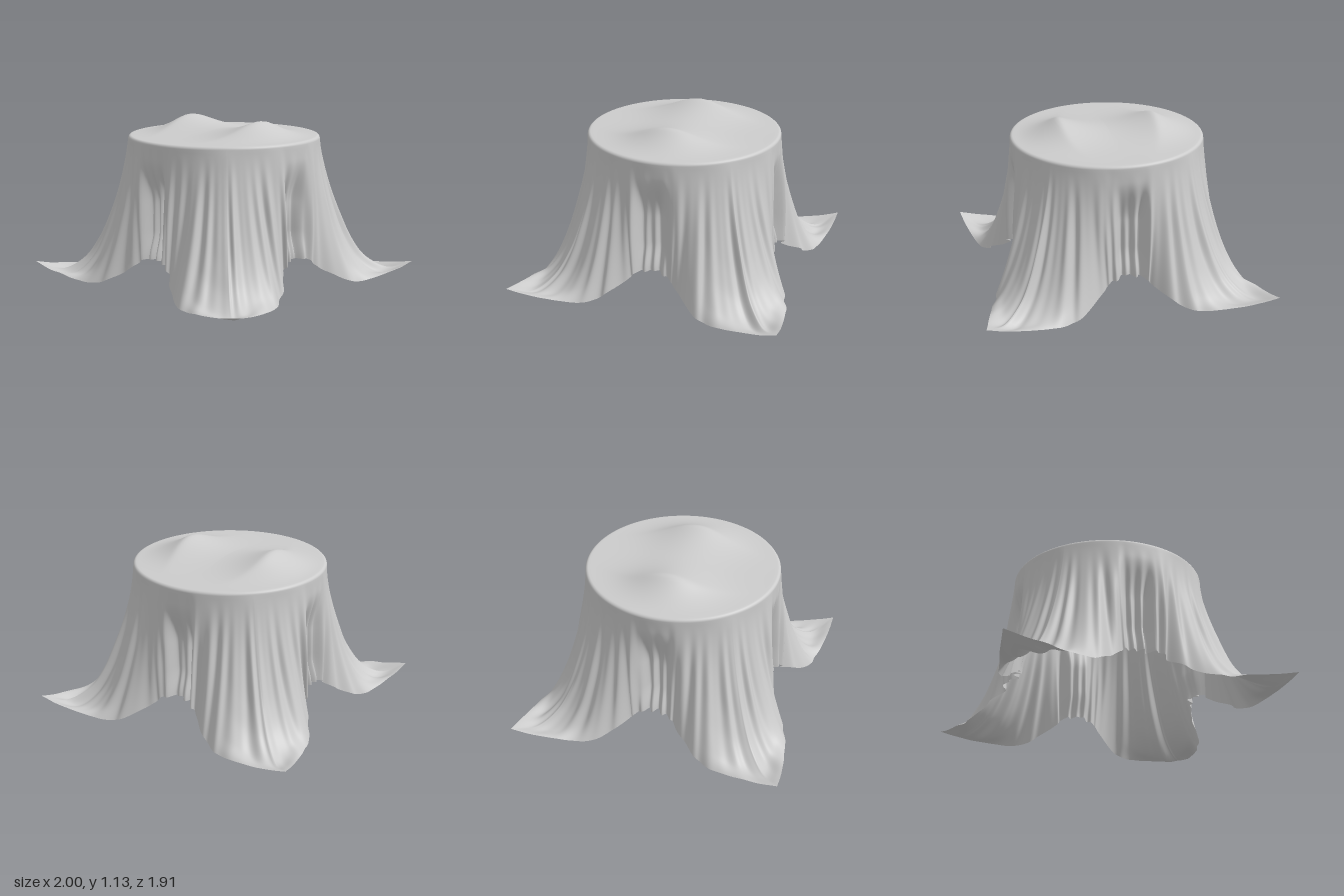
import * as THREE from 'three';

const { lerp, smoothstep } = THREE.MathUtils;
const HALF = 80;                 // columns per half side of the square cloth
const COLS = HALF * 8;
const TOP_ROWS = 34, RIM_ROWS = 5, SKIRT_ROWS = 44;
const RADIUS = 0.685, TOP_Y = 1.038, ROUND = 0.022;

const spline = (pts) => new THREE.CatmullRomCurve3(pts.map((p) => new THREE.Vector3(...p)));

// Hem from the middle of a side to a corner: across, height, outward
const hem = spline([
  [0, 0.23, 0.68], [0.06, 0.22, 0.69], [0.12, 0.21, 0.70], [0.17, 0.16, 0.72],
  [0.26, 0.10, 0.79], [0.36, 0.04, 0.85], [0.46, 0.02, 0.89], [0.58, 0.025, 0.915],
  [0.71, 0.04, 0.935], [0.86, 0.06, 0.95], [1, 0.09, 0.955],
]);

// Fall of a corner: share of outward travel, height
const cornerFall = spline([
  [0, 1.015, 0], [0.04, 0.85, 0], [0.11, 0.65, 0], [0.21, 0.45, 0],
  [0.33, 0.27, 0], [0.49, 0.12, 0], [0.73, 0.035, 0], [1, 0.09, 0],
]);

// Two raised crests under the cloth, with a sag between them
function topHeight(x, z) {
  const crest = 0.34 - 0.45 * z * z;
  const ax = Math.abs(x);
  const soft = Math.sqrt((ax - crest) ** 2 + 0.0004) - 0.02;   // rounds the peak
  const p = ax < crest
    ? 0.36 + 0.64 * Math.max(0, 1 - soft / crest) ** 2
    : Math.max(0, 1 - soft / (0.69 - crest)) ** 2;
  const rim = 1 - Math.min(1, Math.hypot(x, z) / RADIUS) ** 8;
  return TOP_Y + 0.115 * p * Math.exp(-((z / 0.27) ** 2)) * rim;
}

// Irregular folds that repeat cleanly round the cloth
function folds(s) {
  const a = s * Math.PI / 4;
  const warp = 0.5 * Math.sin(5 * a + 1) + 0.4 * Math.sin(11 * a);
  return 0.55 * Math.sin(46 * a + warp) + 0.35 * Math.sin(29 * a + 2 + warp)
    + 0.3 * Math.sin(67 * a + 0.7);
}

function skirtPoint(side, u, v) {
  const turn = side * Math.PI / 2;
  const au = Math.abs(u), sign = Math.sign(u);
  const phi = Math.atan(u);
  const end = hem.getPoint(au);
  const odd = side % 2 ? 0.045 * au ** 4 : 0;   // cloth is slightly wider in x than in z
  const hemAcross = sign * end.x * (1 - odd);
  const hemOut = end.z + odd;

  // Side middles hang straight, corners sweep out along the floor
  const w = smoothstep(au, 0.45, 1);
  const fall = cornerFall.getPoint(v);
  const share = lerp(v ** 1.6, fall.x, w);
  let across = lerp(RADIUS * Math.sin(phi), hemAcross, share);
  let out = lerp(RADIUS * Math.cos(phi), hemOut, share);
  let y = lerp(lerp(TOP_Y - ROUND, end.y, v), fall.y + (end.y - 0.09) * v, w);

  // Folds push outward on the wall and upward on the floor
  const s = side * 2 + u;
  const grow = smoothstep(v, 0.02, 0.5);
  const cornerFade = 1 - w * smoothstep(v, 0.75, 1);
  let push = 0.017 * folds(s) * grow * cornerFade;
  const gather = 1 - smoothstep(au, 0.2, 0.36);
  push += 0.018 * gather * Math.sin(s * Math.PI / 4 * 72 + side) * smoothstep(v, 0.15, 0.8);
  // Tucked pleat in the middle of each side
  const shift = u + (side % 2 ? 0 : 0.03 * (side - 1) * -1);
  push -= 0.065 * (1 - smoothstep(Math.abs(shift), 0.11, 0.2))
    * smoothstep(v, 0.12, 0.5) * (1 - 0.6 * smoothstep(v, 0.75, 1));
  push += 0.02 * smoothstep(au, 0.16, 0.24) * (1 - smoothstep(au, 0.24, 0.5)) * Math.sin(Math.PI * v);

  const flat = w * smoothstep(v, 0.45, 0.85);
  across += Math.sin(phi) * push * (1 - flat);
  out += Math.cos(phi) * push * (1 - flat);
  y = Math.max(0.004, y + push * flat + 0.004 * flat);
  return [
    out * Math.sin(turn) + across * Math.cos(turn), y,
    out * Math.cos(turn) - across * Math.sin(turn),
  ];
}

function clothPoint(row, col) {
  const side = Math.floor(col / (2 * HALF));
  const u = (col % (2 * HALF)) / HALF - 1;
  const angle = side * Math.PI / 2 + Math.atan(u);
  const polar = (r, y) => [r * Math.sin(angle), y, r * Math.cos(angle)];
  const flatR = RADIUS - ROUND;
  if (row <= TOP_ROWS) {
    const [x, , z] = polar(flatR * row / TOP_ROWS, 0);
    return [x, topHeight(x, z), z];
  }
  if (row < TOP_ROWS + RIM_ROWS) {
    const t = (row - TOP_ROWS) / RIM_ROWS * Math.PI / 2;
    return polar(flatR + ROUND * Math.sin(t), TOP_Y - ROUND * (1 - Math.cos(t)));
  }
  return skirtPoint(side, u, (row - TOP_ROWS - RIM_ROWS) / SKIRT_ROWS);
}

export function createModel() {
  const group = new THREE.Group();
  const rows = TOP_ROWS + RIM_ROWS + SKIRT_ROWS;
  const positions = [], index = [];
  for (let i = 0; i <= rows; i++) {
    for (let j = 0; j < COLS; j++) {
      positions.push(...clothPoint(i, j));
      if (i === rows) continue;
      const k = (j + 1) % COLS;
      const a = i * COLS + j, b = i * COLS + k, c = a + COLS, d = b + COLS;
      index.push(a, c, d);
      if (i > 0) index.push(a, d, b);
    }
  }
  const geometry = new THREE.BufferGeometry();
  geometry.setAttribute('position', new THREE.Float32BufferAttribute(positions, 3));
  geometry.setIndex(index);
  geometry.computeVertexNormals();

  // One draped square cloth, open underneath
  const cloth = new THREE.Mesh(geometry, new THREE.MeshStandardMaterial({
    color: 0xcccccc, side: THREE.DoubleSide,
  }));
  cloth.name = 'tablecloth';
  group.add(cloth);
  return group;
}
